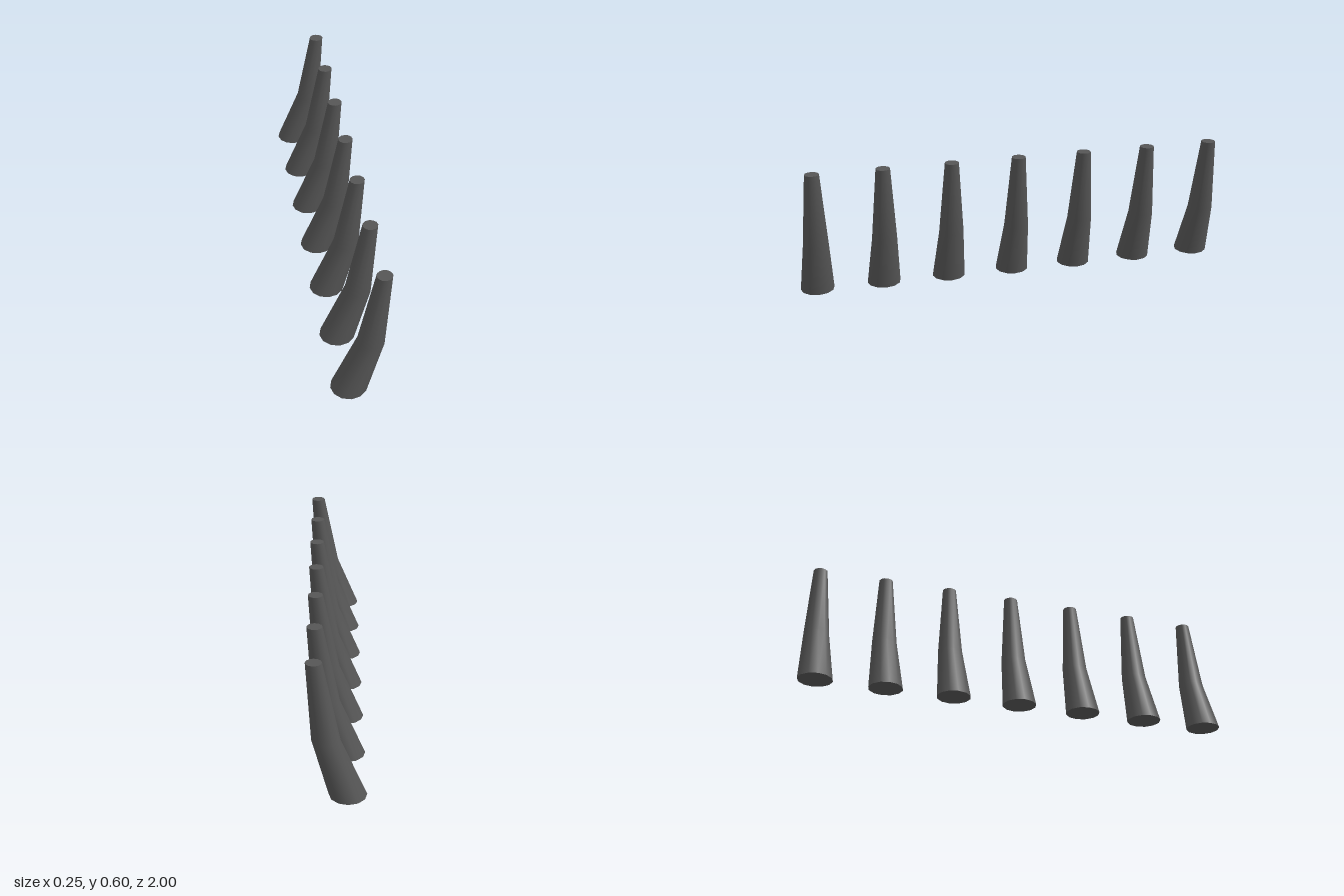
import * as THREE from 'three';
import { toCreasedNormals } from 'three/addons/utils/BufferGeometryUtils.js';

// Ring sections of one bent, tapering post, bottom to top
const SECTIONS = [
  { y: 0, x: -0.045, rx: 0.078, rz: 0.077 },
  { y: 0.256, x: 0.043, rx: 0.058, rz: 0.057 },
  { y: 0.6, x: 0.089, rx: 0.033, rz: 0.032 },
];
const COUNT = 7;
const SPACING = 0.3077;

// Unit cylinder whose three rings are moved onto the sections
function bentPostGeometry() {
  const geometry = new THREE.CylinderGeometry(1, 1, 2, 12, 2);
  const p = geometry.attributes.position;
  for (let i = 0; i < p.count; i++) {
    const s = SECTIONS[Math.round(p.getY(i)) + 1];
    p.setXYZ(i, s.x + p.getX(i) * s.rx, s.y, p.getZ(i) * s.rz);
  }
  return toCreasedNormals(geometry, 0.8);
}

export function createModel() {
  const model = new THREE.Group();
  model.name = 'postRow';
  const material = new THREE.MeshStandardMaterial({ color: 0x555555 });
  const geometry = bentPostGeometry();

  // Row of identical posts along z
  for (let i = 0; i < COUNT; i++) {
    const post = new THREE.Mesh(geometry, material);
    post.name = `bentPost${i + 1}`;
    post.position.z = ((COUNT - 1) / 2 - i) * SPACING;
    model.add(post);
  }
  return model;
}
